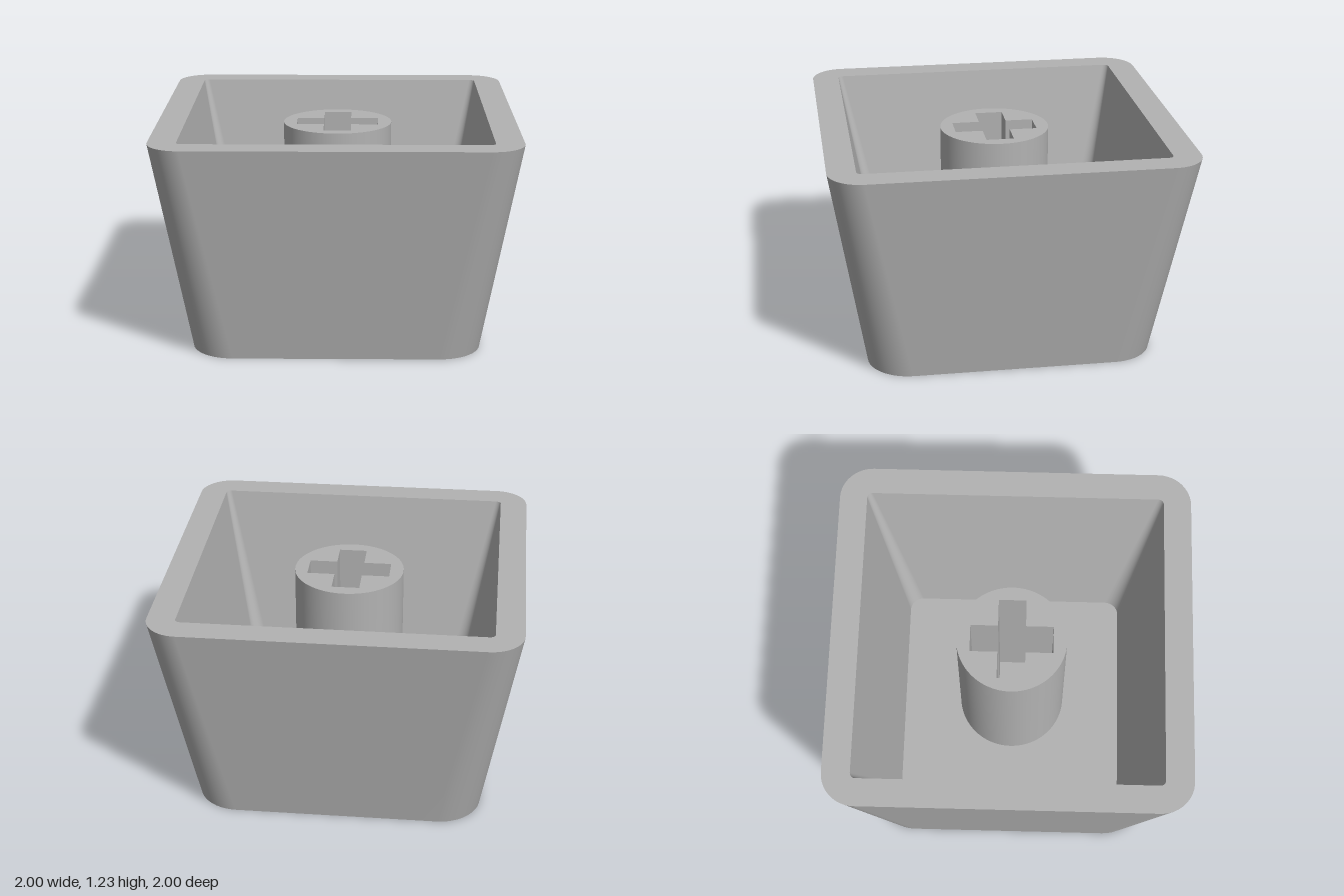
import * as THREE from 'three';
import { toCreasedNormals } from 'three/addons/utils/BufferGeometryUtils.js';

const HEIGHT = 1.225, FLOOR = 0.155, STEM_TOP = 1.155;
const CORNER_STEPS = 12;

// Rounded square outline, counter-clockwise, as 2D points
function roundedSquare(half, radius) {
  const points = [];
  for (let corner = 0; corner < 4; corner++) {
    const start = corner * Math.PI / 2, mid = start + Math.PI / 4;
    const cx = Math.sign(Math.cos(mid)) * (half - radius);
    const cy = Math.sign(Math.sin(mid)) * (half - radius);
    for (let i = 0; i <= CORNER_STEPS; i++) {
      const a = start + (i / CORNER_STEPS) * Math.PI / 2;
      points.push(new THREE.Vector2(cx + radius * Math.cos(a), cy + radius * Math.sin(a)));
    }
  }
  return points;
}

// Smooth wall between two matching outlines
function wall(lower, upper, y0, y1, inward) {
  const n = lower.length, positions = [], index = [];
  lower.forEach(p => positions.push(p.x, y0, -p.y));
  upper.forEach(p => positions.push(p.x, y1, -p.y));
  for (let i = 0; i < n; i++) {
    const j = (i + 1) % n;
    if (inward) index.push(i, n + j, j, i, n + i, n + j);
    else index.push(i, j, n + j, i, n + j, n + i);
  }
  const geometry = new THREE.BufferGeometry();
  geometry.setAttribute('position', new THREE.Float32BufferAttribute(positions, 3));
  geometry.setIndex(index);
  geometry.computeVertexNormals();
  return geometry;
}

// Flat horizontal face, optionally with a hole
function plate(outline, y, { hole, down = false } = {}) {
  const shape = new THREE.Shape(outline);
  if (hole) shape.holes.push(new THREE.Path(hole));
  return new THREE.ShapeGeometry(shape)
    .rotateX(down ? Math.PI / 2 : -Math.PI / 2)
    .translate(0, y, 0);
}

// Round post with a cross-shaped socket
function stemGeometry() {
  const shape = new THREE.Shape().absarc(0, 0, 0.31, 0, Math.PI * 2, false);
  const a = 0.233, w = 0.078;
  const cross = [
    [a, -w], [a, w], [w, w], [w, a], [-w, a], [-w, w],
    [-a, w], [-a, -w], [-w, -w], [-w, -a], [w, -a], [w, -w],
  ].map(([x, y]) => new THREE.Vector2(x, y));
  shape.holes.push(new THREE.Path(cross));
  const geometry = new THREE.ExtrudeGeometry(shape, {
    depth: STEM_TOP - FLOOR, bevelEnabled: false, curveSegments: 64,
  });
  geometry.rotateX(-Math.PI / 2).translate(0, FLOOR, 0);
  return toCreasedNormals(geometry, 0.5);
}

export function createModel() {
  const model = new THREE.Group();
  model.name = 'keycap';
  const grey = new THREE.MeshStandardMaterial({ color: 0xb2b2b2 });
  grey.name = 'grey plastic';

  const add = (name, geometry) => {
    const mesh = new THREE.Mesh(geometry, grey);
    mesh.name = name;
    model.add(mesh);
  };

  const outerBottom = roundedSquare(0.803, 0.235);
  const outerTop = roundedSquare(1, 0.185);
  const innerBottom = roundedSquare(0.648, 0.08);
  const innerTop = roundedSquare(0.845, 0.03);

  // Tapered hollow shell
  add('outerWall', wall(outerBottom, outerTop, 0, HEIGHT, false));
  add('innerWall', wall(innerBottom, innerTop, FLOOR, HEIGHT, true));
  add('rim', plate(outerTop, HEIGHT, { hole: innerTop }));
  add('cavityFloor', plate(innerBottom, FLOOR));
  add('base', plate(outerBottom, 0, { down: true }));

  // Central mounting post
  add('stem', stemGeometry());
  return model;
}
